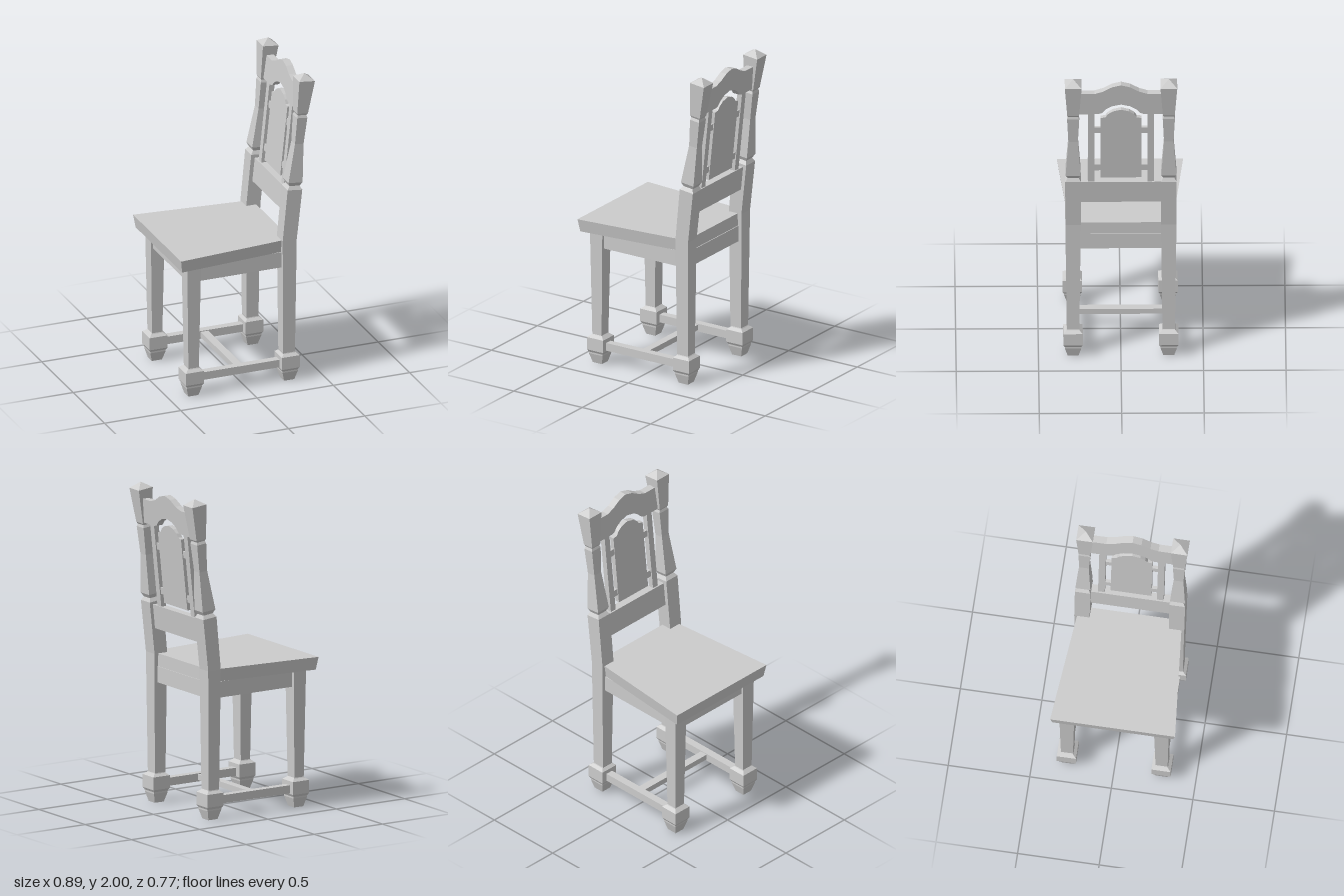
import * as THREE from 'three';

const material = new THREE.MeshStandardMaterial({ color: 0xcccccc, flatShading: true });
const LEAN = 0.105; // backward slope of the chair back

function add(group, name, geometry) {
  const mesh = new THREE.Mesh(geometry, material);
  mesh.name = name;
  group.add(mesh);
  return mesh;
}

// Square turned post from sections [y, centreX, halfX, halfZ, tilt]
function postGeometry(sections, z) {
  const pos = [], index = [];
  for (const [y, cx, hx, hz, tilt = 0] of sections)
    for (const [sx, sz] of [[-1, 1], [1, 1], [1, -1], [-1, -1]])
      pos.push(cx + sx * hx, y - sx * hx * tilt, z + sz * hz);
  for (let i = 0; i < sections.length - 1; i++)
    for (let k = 0; k < 4; k++) {
      const a = i * 4 + k, b = i * 4 + (k + 1) % 4;
      index.push(a, b, b + 4, a, b + 4, a + 4);
    }
  const t = (sections.length - 1) * 4;
  index.push(0, 2, 1, 0, 3, 2, t, t + 1, t + 2, t, t + 2, t + 3);
  const indexed = new THREE.BufferGeometry();
  indexed.setAttribute('position', new THREE.Float32BufferAttribute(pos, 3));
  indexed.setIndex(index);
  const g = indexed.toNonIndexed();
  g.computeVertexNormals();
  return g;
}

// Board cut to an outline of [z, y] points, leaning with the chair back
function leaningBoard(points, front, thickness) {
  const shape = new THREE.Shape(points.map(([z, y]) => new THREE.Vector2(z, y)));
  const g = new THREE.ExtrudeGeometry(shape, { depth: thickness, bevelEnabled: false });
  g.rotateY(Math.PI / 2);
  const p = g.attributes.position;
  for (let i = 0; i < p.count; i++)
    p.setX(i, p.getX(i) + front + LEAN * (p.getY(i) - 1.24));
  g.computeVertexNormals();
  return g;
}

const rect = (z0, z1, y0, y1) => [[z0, y0], [z1, y0], [z1, y1], [z0, y1]];
// Completes a half outline (z >= 0, ending at the centre) by mirroring
const mirrored = half => [...half, ...half.filter(p => p[0] > 0).reverse().map(([z, y]) => [-z, y])];

function box(x0, x1, y0, y1, z0, z1) {
  return new THREE.BoxGeometry(x1 - x0, y1 - y0, z1 - z0)
    .translate((x0 + x1) / 2, (y0 + y1) / 2, (z0 + z1) / 2);
}

// Tapered foot with chamfered block
const foot = cx => [
  [0, cx, 0.033, 0.033], [0.06, cx, 0.05, 0.05], [0.07, cx, 0.05, 0.05],
  [0.085, cx, 0.059, 0.059], [0.165, cx, 0.059, 0.059], [0.18, cx, 0.04, 0.04]
];

export function createModel() {
  const chair = new THREE.Group();
  chair.name = 'chair';

  // Seat: wide at the front, narrower behind, undercut at the edges
  const seat = new THREE.BoxGeometry(1, 1, 1);
  const p = seat.attributes.position;
  for (let i = 0; i < p.count; i++) {
    const inset = p.getY(i) < 0 ? 0.012 : 0;
    const x = p.getX(i) < 0 ? -0.45 + inset : 0.3;
    const halfZ = 0.383 - 0.092 * (x + 0.45) - inset;
    p.setXYZ(i, x, p.getY(i) < 0 ? 0.85 : 0.93, Math.sign(p.getZ(i)) * halfZ);
  }
  seat.computeVertexNormals();
  add(chair, 'seat', seat);
  add(chair, 'apron', box(-0.375, 0.305, 0.75, 0.85, -0.315, 0.315));

  for (const [side, s] of [['left', 1], ['right', -1]]) {
    const z = 0.29 * s;

    // Front leg
    add(chair, side + 'FrontLeg', postGeometry([
      ...foot(-0.345), [0.185, -0.345, 0.034, 0.037], [0.85, -0.345, 0.045, 0.046]
    ], z));

    // Back leg running up into the turned back post
    add(chair, side + 'BackPost', postGeometry([
      ...foot(0.283), [0.185, 0.28, 0.039, 0.038], [0.93, 0.281, 0.046, 0.047],
      [1.258, 0.315, 0.048, 0.048, 0.11], [1.28, 0.318, 0.033, 0.033, 0.11],
      [1.305, 0.32, 0.046, 0.046, 0.11], [1.55, 0.351, 0.028, 0.029, 0.11],
      [1.722, 0.368, 0.033, 0.037, 0.11], [1.738, 0.369, 0.028, 0.03, 0.11],
      [1.75, 0.37, 0.035, 0.036, 0.11], [1.965, 0.394, 0.051, 0.051, 0.11],
      [2.0, 0.396, 0.001, 0.001]
    ], z));

    // Side stretcher
    add(chair, side + 'Stretcher', box(-0.3, 0.24, 0.09, 0.14, z - 0.024, z + 0.024));

    // Upright slat and the pegs holding the centre panel
    const zs = [0.16 * s, 0.201 * s].sort((a, b) => a - b);
    add(chair, side + 'BackSlat', leaningBoard(rect(...zs, 1.23, 1.77), 0.299, 0.035));
    const zp = [0.12 * s, 0.165 * s].sort((a, b) => a - b);
    for (const y of [1.32, 1.6])
      add(chair, side + 'PanelPeg', leaningBoard(rect(...zp, y, y + 0.042), 0.307, 0.02));
  }

  // Cross stretcher joining the two side stretchers
  add(chair, 'crossStretcher', box(-0.055, -0.005, 0.1, 0.135, -0.28, 0.28));

  // Lower back rail
  add(chair, 'lowerBackRail', leaningBoard(rect(-0.26, 0.26, 1.09, 1.24), 0.29, 0.05));

  // Arched centre panel
  add(chair, 'backPanel', leaningBoard(mirrored([
    [0.125, 1.27], [0.125, 1.717], [0.095, 1.722], [0.08, 1.745], [0.05, 1.767], [0, 1.78]
  ]), 0.303, 0.03));

  // Arched crest rail
  const crestTop = [[-0.26, 1.905], [-0.16, 1.905], [-0.11, 1.922], [-0.055, 1.955], [0, 1.97]];
  const crestBottom = [[0.26, 1.753], [0.14, 1.753], [0.115, 1.762], [0.095, 1.787], [0.055, 1.812], [0, 1.825]];
  const flip = pts => pts.slice(0, -1).reverse().map(([z, y]) => [-z, y]);
  add(chair, 'crestRail', leaningBoard(
    [...crestTop, ...flip(crestTop), ...crestBottom, ...flip(crestBottom)], 0.298, 0.045));

  return chair;
}
